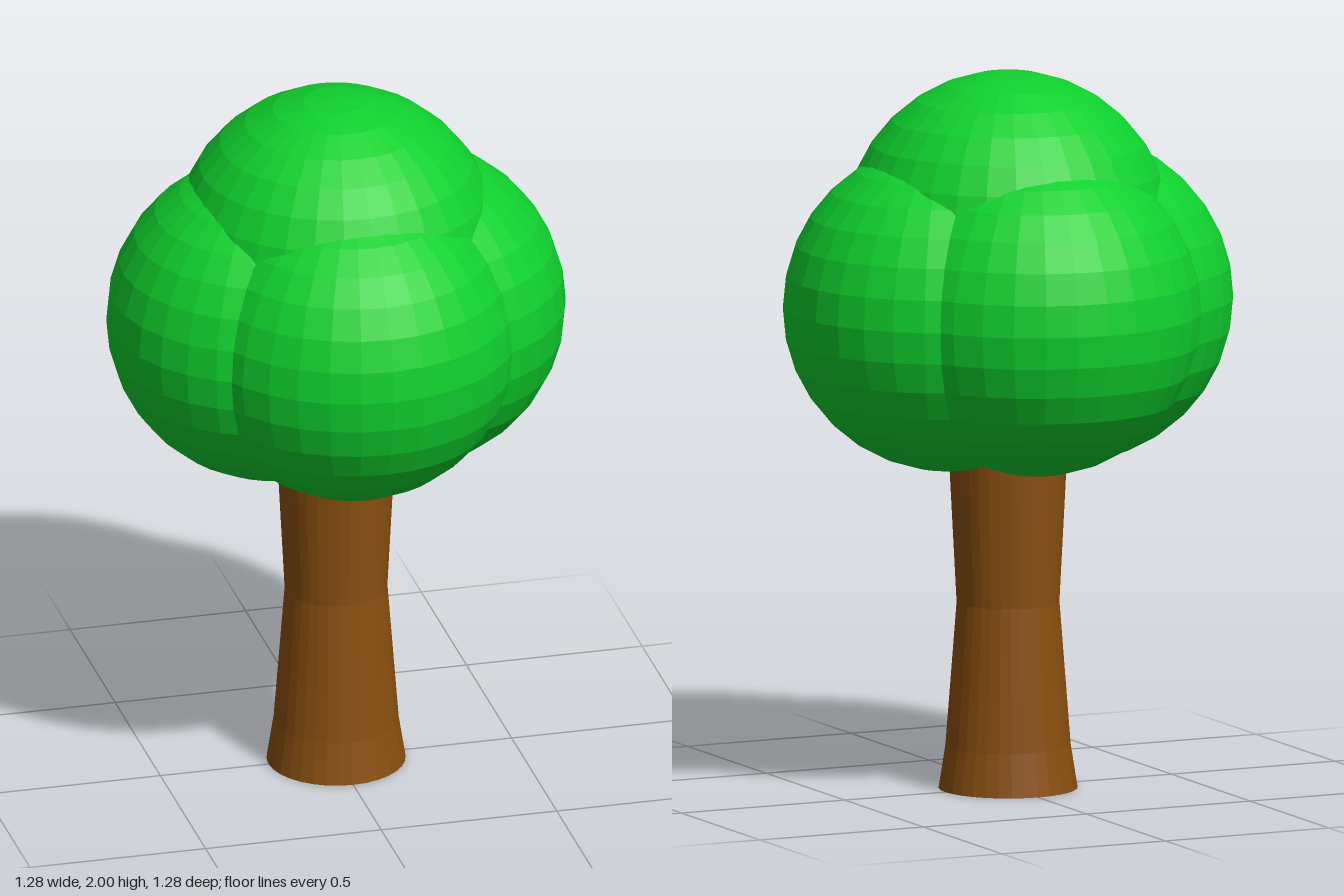
import * as THREE from 'three';

export function createModel() {
  const tree = new THREE.Group();
  tree.name = 'tree';

  const bark = new THREE.MeshStandardMaterial({ color: 0x8a4f10, flatShading: true });
  const leaves = new THREE.MeshStandardMaterial({ color: 0x10d02e, flatShading: true });

  // Trunk: flared foot, narrow waist, wider again under the crown
  const profile = [[0, 0], [0.192, 0], [0.173, 0.12], [0.142, 0.52], [0.166, 0.98], [0.17, 1.04], [0, 1.04]]
    .map(([r, y]) => new THREE.Vector2(r, y));
  const trunk = new THREE.Mesh(new THREE.LatheGeometry(profile, 32), bark);
  trunk.name = 'trunk';
  tree.add(trunk);

  // Crown: four overlapping balls around the trunk and one on top
  const radius = 0.455;
  const ball = new THREE.SphereGeometry(radius, 32, 16);
  const offset = 0.185;
  const addBall = (name, x, y, z) => {
    const mesh = new THREE.Mesh(ball, leaves);
    mesh.name = name;
    mesh.position.set(x, y, z);
    tree.add(mesh);
  };
  addBall('foliageLeft', offset, 1.357, 0);
  addBall('foliageRight', -offset, 1.357, 0);
  addBall('foliageFront', 0, 1.357, offset);
  addBall('foliageBack', 0, 1.357, -offset);
  addBall('foliageTop', 0, 2 - radius, 0);

  return tree;
}
